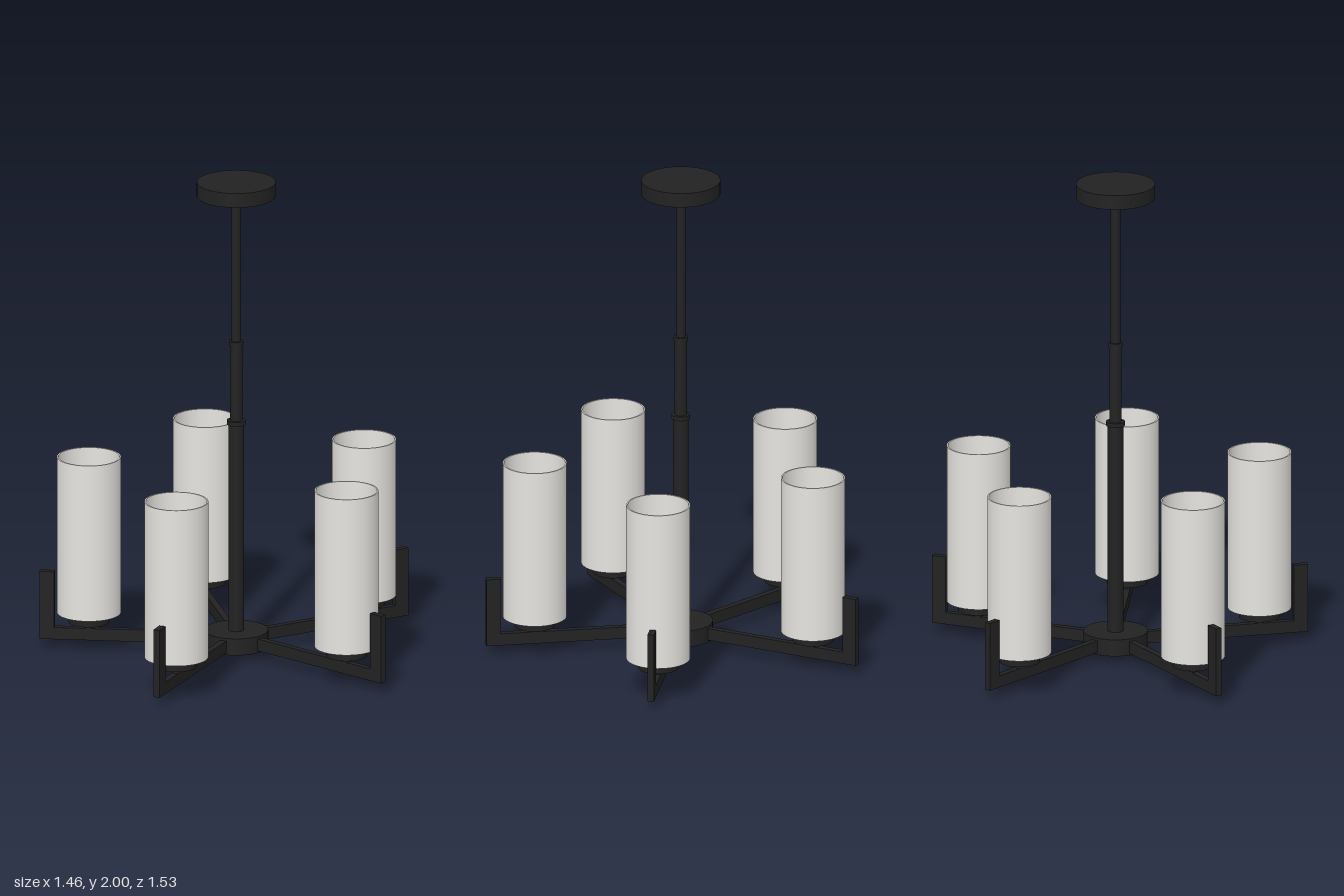
import * as THREE from 'three';

const black = new THREE.MeshStandardMaterial({ color: 0x222222 });
const glass = new THREE.MeshStandardMaterial({ color: 0xe6e4e0 });

function add(parent, name, geometry, material, x, y, z = 0) {
  const mesh = new THREE.Mesh(geometry, material);
  mesh.name = name;
  mesh.position.set(x, y, z);
  parent.add(mesh);
  return mesh;
}

// Upright cylinder between two heights
function rod(parent, name, radius, y0, y1, x = 0, segments = 32) {
  return add(parent, name, new THREE.CylinderGeometry(radius, radius, y1 - y0, segments), black, x, (y0 + y1) / 2);
}

// Open-topped cup with a thin wall; corners are doubled to keep the rims crisp
function shadeGeometry() {
  const R = 0.13, r = 0.124, y0 = 0.155, y1 = 0.815, floor = 0.163;
  const corners = [[0, y0], [R, y0], [R, y1], [r, y1], [r, floor], [0, floor]];
  const points = corners.flatMap(([x, y], i) => {
    const p = new THREE.Vector2(x, y);
    if (i === 0 || i === corners.length - 1) return [p];
    const toward = (j) => p.clone().lerp(new THREE.Vector2(...corners[j]), 0.002);
    return [toward(i - 1), p, toward(i + 1)];
  });
  return new THREE.LatheGeometry(points, 48);
}

export function createModel() {
  const model = new THREE.Group();
  model.name = 'chandelier';
  const fixture = new THREE.Group();
  fixture.name = 'fixture';
  fixture.position.x = -0.075;
  model.add(fixture);

  // Ceiling canopy and telescoping stem
  rod(fixture, 'canopy', 0.16, 1.94, 2.0, 0, 64);
  rod(fixture, 'upperStem', 0.02, 1.32, 1.94);
  rod(fixture, 'upperCollar', 0.029, 1.308, 1.326);
  rod(fixture, 'middleStem', 0.025, 0.985, 1.31);
  rod(fixture, 'lowerCollar', 0.038, 0.972, 0.99);
  rod(fixture, 'lowerStem', 0.032, 0.1, 0.975);

  // Hub and bottom knob
  rod(fixture, 'hub', 0.13, 0.03, 0.1, 0, 48);
  rod(fixture, 'bottomKnob', 0.023, 0, 0.03);

  // Five arms, each with an upright end and a glass shade
  const shade = shadeGeometry();
  for (let i = 0; i < 5; i++) {
    const arm = new THREE.Group();
    arm.name = `arm${i + 1}`;
    arm.rotation.y = (i * Math.PI * 2) / 5;
    fixture.add(arm);
    add(arm, 'armBar', new THREE.BoxGeometry(0.7, 0.05, 0.027), black, 0.45, 0.064);
    add(arm, 'armUpright', new THREE.BoxGeometry(0.06, 0.236, 0.027), black, 0.77, 0.207);
    rod(arm, 'shadeStem', 0.017, 0.089, 0.116, 0.6, 24);
    rod(arm, 'shadeHolder', 0.083, 0.115, 0.155, 0.6, 48);
    add(arm, 'shade', shade, glass, 0.6, 0);
  }
  return model;
}
